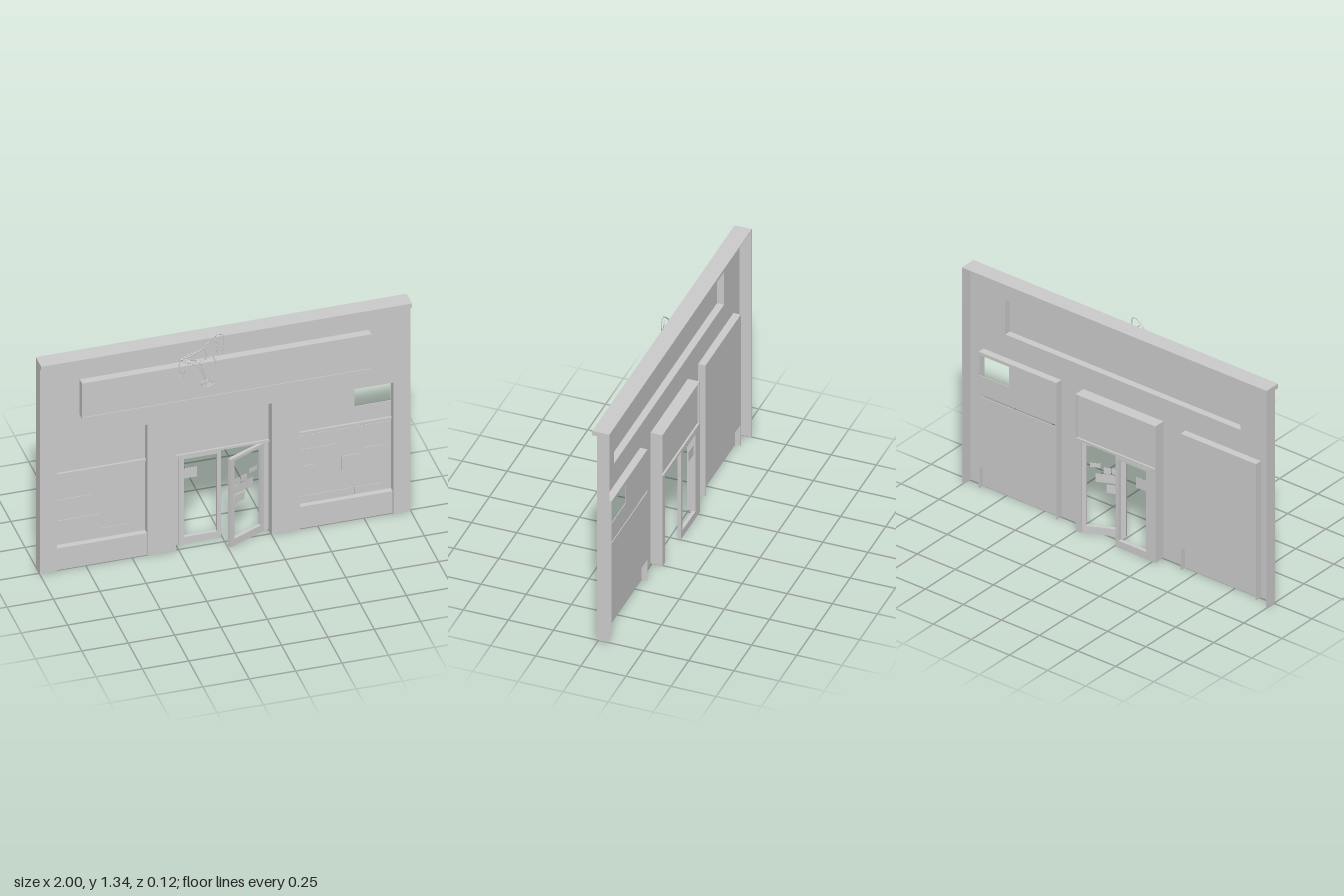
import * as THREE from 'three';

const material = new THREE.MeshStandardMaterial({ color: 0xcccccc, side: THREE.DoubleSide, flatShading: true });
const T = 0.004; // sheet thickness

function add(parent, name, geometry) {
  const mesh = new THREE.Mesh(geometry, material);
  mesh.name = name;
  parent.add(mesh);
  return mesh;
}

// Box given by its limits on each axis
function box(parent, name, x0, x1, y0, y1, z0, z1) {
  const g = new THREE.BoxGeometry(x1 - x0, y1 - y0, z1 - z0);
  g.translate((x0 + x1) / 2, (y0 + y1) / 2, (z0 + z1) / 2);
  return add(parent, name, g);
}

function rectPath(x0, x1, y0, y1, Type = THREE.Path) {
  return new Type([[x0, y0], [x1, y0], [x1, y1], [x0, y1]].map(p => new THREE.Vector2(...p)));
}

// Rectangular frame or panel with rectangular openings, from z0 to z1
function panel(parent, name, outer, holes, z0, z1) {
  const shape = rectPath(...outer, THREE.Shape);
  holes.forEach(h => shape.holes.push(rectPath(...h)));
  const g = new THREE.ExtrudeGeometry(shape, { depth: z1 - z0, bevelEnabled: false });
  g.translate(0, 0, z0);
  return add(parent, name, g);
}

// Sheet returns lining an opening on both sides and the top
function reveal(parent, x0, x1, y, zBack) {
  box(parent, 'revealLeft', x1 - T, x1, 0, y, zBack, 0.01);
  box(parent, 'revealRight', x0, x0 + T, 0, y, zBack, 0.01);
  box(parent, 'revealTop', x0, x1, y - T, y, zBack, 0.01);
}

// Shop window bay: stall riser, sill, two panes and papers
function windowBay(name, x0, x1, lowerTop, upperHoles, papers) {
  const bay = new THREE.Group();
  bay.name = name;
  reveal(bay, x0, x1, 0.82, -0.035);
  box(bay, 'stallRiser', x0, x1, 0, 0.135, -0.004, 0);
  box(bay, 'sill', x0, x1, 0.131, 0.135, -0.035, 0);
  box(bay, 'lowerPane', x0, x1, 0.135, lowerTop, -0.035, -0.031);
  panel(bay, 'upperPane', [x0, x1, 0.58, 0.82], upperHoles, -0.035, -0.031);
  box(bay, 'transomBar', x0, x1, 0.568, 0.582, -0.035, -0.02);
  papers.forEach(p => box(bay, 'paper', ...p, -0.031, -0.028));
  return bay;
}

// Door leaf hinged at its local origin, extending along -x
function doorLeaf(name, width, papers) {
  const leaf = new THREE.Group();
  leaf.name = name;
  panel(leaf, 'doorFrame', [-width, 0, 0, 0.545], [[0.028 - width, -0.022, 0.043, 0.527]], -0.01, 0.01);
  papers.forEach(p => box(leaf, 'doorPaper', ...p, -0.001, 0.001));
  return leaf;
}

export function createModel() {
  const model = new THREE.Group();
  model.name = 'shopFront';

  // Front wall notched by three bays and open behind the sign
  const outline = [[-1, 0], [-0.91, 0], [-0.91, 0.82], [-0.415, 0.82], [-0.415, 0], [-0.27, 0], [-0.27, 0.82],
    [0.255, 0.82], [0.255, 0], [0.4, 0], [0.4, 0.82], [0.91, 0.82], [0.91, 0], [1, 0], [1, 1.305], [-1, 1.305]];
  const wall = new THREE.Shape(outline.map(p => new THREE.Vector2(...p)));
  wall.holes.push(rectPath(-0.785, 0.775, 0.95, 1.17));
  const wallGeometry = new THREE.ExtrudeGeometry(wall, { depth: T, bevelEnabled: false });
  wallGeometry.translate(0, 0, 0.01 - T);
  add(model, 'frontWall', wallGeometry);

  // End returns, top cap and cornice
  for (const s of [-1, 1]) {
    const x = s * (1 - T / 2);
    box(model, 'endReturn', x - T / 2, x + T / 2, 0, 1.305, -0.06, 0.01);
  }
  box(model, 'topCap', -1, 1, 1.301, 1.305, -0.06, 0.035);
  box(model, 'cornice', -1, 1, 1.278, 1.305, 0.01, 0.035);

  // Hollow sign box
  const sign = new THREE.Group();
  sign.name = 'signBox';
  panel(sign, 'signRim', [-0.785, 0.775, 0.95, 1.17], [[-0.778, 0.768, 0.957, 1.163]], 0.006, 0.053);
  box(sign, 'signFace', -0.78, 0.77, 0.955, 1.165, 0.045, 0.049);
  model.add(sign);

  // Window bays
  model.add(windowBay('rightWindowBay', -0.91, -0.415, 0.57, [], [
    [-0.895, -0.705, 0.295, 0.415], [-0.895, -0.665, 0.155, 0.285], [-0.655, -0.515, 0.15, 0.195]]));
  model.add(windowBay('leftWindowBay', 0.4, 0.91, 0.556, [[0.71, 0.904, 0.68, 0.802]], [
    [0.42, 0.51, 0.385, 0.47], [0.52, 0.61, 0.385, 0.47], [0.42, 0.51, 0.28, 0.365], [0.64, 0.755, 0.3, 0.385],
    [0.76, 0.88, 0.225, 0.415], [0.405, 0.55, 0.135, 0.18], [0.555, 0.7, 0.135, 0.18], [0.71, 0.85, 0.14, 0.18]]));

  // Entrance bay with a panel over two doors
  const entrance = new THREE.Group();
  entrance.name = 'entrance';
  reveal(entrance, -0.27, 0.255, 0.82, -0.06);
  box(entrance, 'overdoorPanel', -0.27, 0.255, 0.55, 0.82, -0.049, -0.045);
  box(entrance, 'doorHeader', -0.27, 0.255, 0.547, 0.56, -0.06, -0.035);
  box(entrance, 'doorJamb', -0.27, -0.235, 0, 0.55, -0.06, -0.045);
  box(entrance, 'doorJamb', 0.22, 0.255, 0, 0.55, -0.06, -0.045);
  const closed = doorLeaf('rightDoor', 0.228, [[-0.212, -0.127, 0.4, 0.462]]);
  closed.position.set(-0.007, 0, -0.05);
  const open = doorLeaf('leftDoor', 0.232, [[-0.197, -0.155, 0.365, 0.4], [-0.15, -0.112, 0.365, 0.4],
    [-0.197, -0.068, 0.31, 0.36], [-0.192, -0.126, 0.25, 0.3], [-0.094, -0.04, 0.395, 0.42]]);
  open.position.set(0.219, 0, -0.046);
  open.rotation.y = 0.44;
  entrance.add(closed, open);
  model.add(entrance);

  // Bent wire ornament over the sign: a seated figure on a round stool
  const ornament = new THREE.Group();
  ornament.name = 'wireOrnament';
  const wires = [
    [[-0.11, 1.29], [-0.075, 1.32], [-0.05, 1.336], [-0.028, 1.328], [-0.027, 1.27], [-0.04, 1.215], [-0.06, 1.235]],
    [[-0.06, 1.235], [-0.055, 1.28], [-0.075, 1.3]],
    [[-0.11, 1.29], [-0.14, 1.255], [-0.2, 1.24], [-0.255, 1.215]],
    [[-0.255, 1.215], [-0.18, 1.235], [-0.13, 1.265], [-0.125, 1.19], [-0.19, 1.2], [-0.255, 1.215]],
    [[-0.255, 1.215], [-0.265, 1.16], [-0.25, 1.13], [-0.255, 1.105], [-0.24, 1.12], [-0.237, 1.15]],
    [[-0.24, 1.2], [-0.17, 1.165], [-0.145, 1.13], [-0.125, 1.065]],
    [[-0.185, 1.19], [-0.15, 1.17], [-0.125, 1.1], [-0.112, 1.065]],
    [[-0.125, 1.19], [-0.085, 1.205], [-0.07, 1.16], [-0.085, 1.13], [-0.095, 1.16]],
  ];
  for (const w of wires) {
    const curve = new THREE.CatmullRomCurve3(w.map(([x, y]) => new THREE.Vector3(x, y, 0.055)));
    add(ornament, 'wire', new THREE.TubeGeometry(curve, 24, 0.003, 5));
  }
  for (const r of [0.036, 0.018]) {
    const ring = add(ornament, 'stoolRing', new THREE.TorusGeometry(r, 0.003, 5, 24));
    ring.position.set(-0.107, 1.046, 0.055);
    ring.scale.y = 0.65;
  }
  model.add(ornament);
  return model;
}
